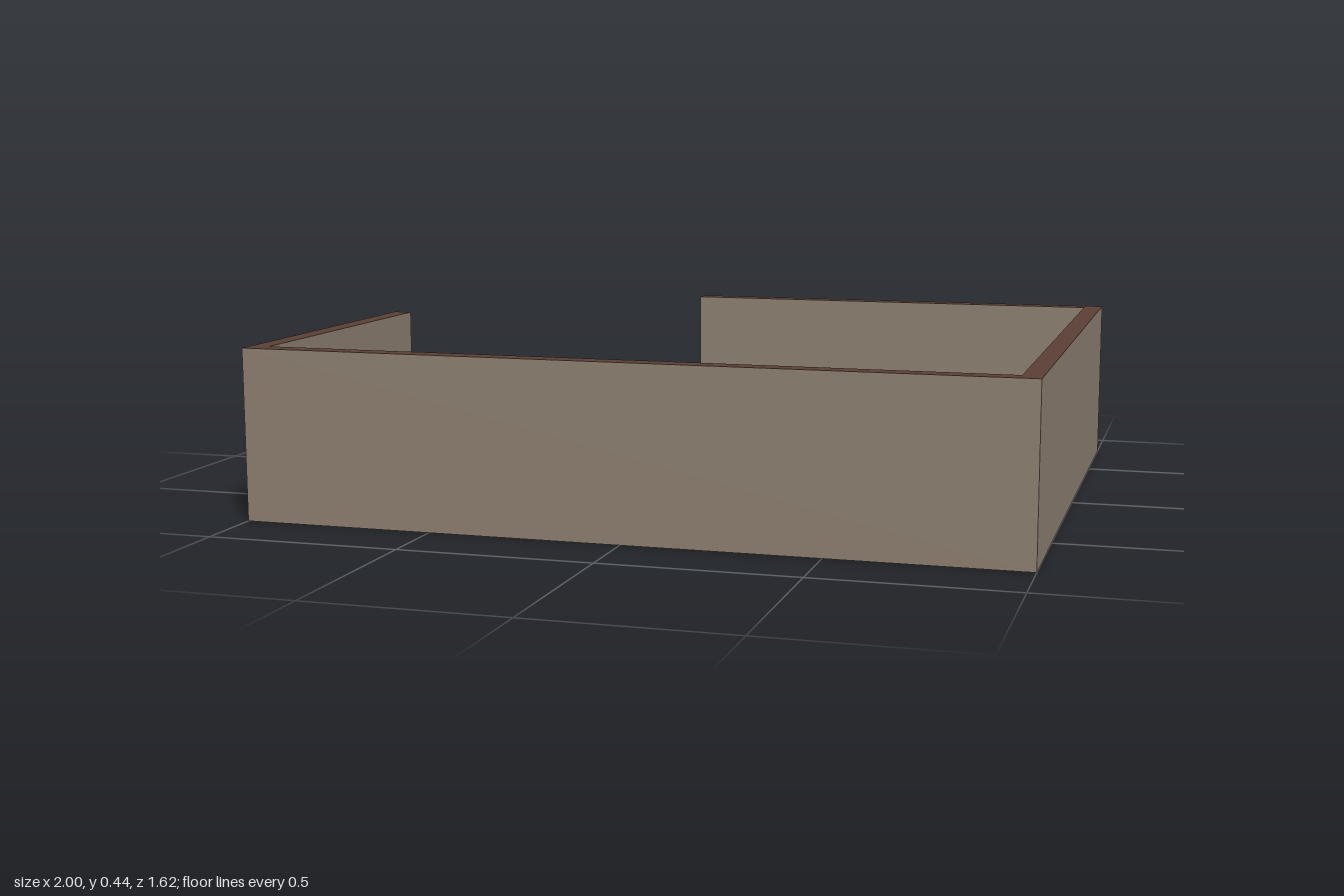
import * as THREE from 'three';

export function createModel() {
  const model = new THREE.Group();
  model.name = 'wallEnclosure';

  const trim = new THREE.MeshStandardMaterial({ color: 0x5d4037 });
  trim.name = 'darkBrown';
  const plaster = new THREE.MeshStandardMaterial({ color: 0x908273 });
  plaster.name = 'taupe';

  const X = 1, Z = 0.81, T = 0.05, H = 0.445;
  const leftEnd = -0.085; // z where the short side wall stops
  const backEnd = -0.255; // x where the back wall stops

  // Wall footprint as [x, z]: outer line, then back along the inner line
  const plan = [
    [-X, leftEnd], [-X, Z], [X, Z], [X, -Z], [backEnd, -Z],
    [backEnd, -Z + T], [X - T, -Z + T], [X - T, Z - T], [-X + T, Z - T], [-X + T, leftEnd],
  ];
  const shape = new THREE.Shape(plan.map(([x, z]) => new THREE.Vector2(x, -z)));

  // Caps (top and bottom edges) are dark brown, wall faces are taupe
  const geometry = new THREE.ExtrudeGeometry(shape, { depth: H, bevelEnabled: false });
  geometry.rotateX(-Math.PI / 2);
  const walls = new THREE.Mesh(geometry, [trim, plaster]);
  walls.name = 'walls';
  model.add(walls);

  return model;
}
